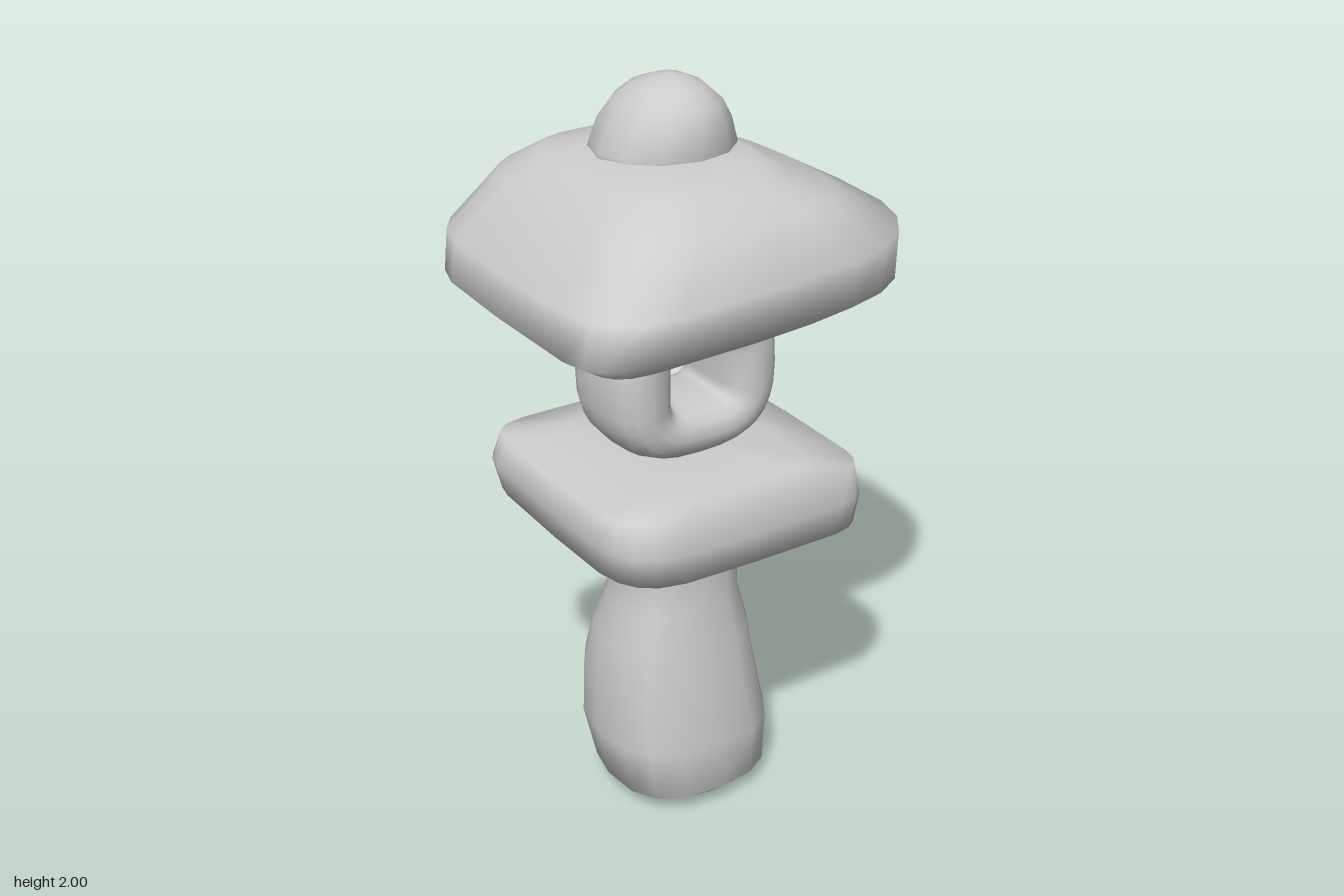
import * as THREE from 'three';

const stone = new THREE.MeshStandardMaterial({ color: 0xcccccc });
const bend = (v, n) => Math.sign(v) * Math.abs(v) ** (2 / n);

function toMesh(name, positions, index) {
  const geometry = new THREE.BufferGeometry();
  geometry.setAttribute('position', new THREE.Float32BufferAttribute(positions, 3));
  geometry.setIndex(index);
  geometry.computeVertexNormals();
  const mesh = new THREE.Mesh(geometry, stone);
  mesh.name = name;
  return mesh;
}

// Stone lofted through rings [y, xMin, xMax, zMin, zMax, tiltX, tiltZ, corners], bottom to top.
// corners = squareness of the [+x+z, -x+z, -x-z, +x-z] quarters; a ring may override it.
function loftStone(name, sides, corners, rings) {
  const positions = [], index = [];
  for (const [y, x0, x1, z0, z1, tiltX = 0, tiltZ = 0, ringCorners = corners] of rings) {
    for (let i = 0; i < sides; i++) {
      const t = (i / sides) * Math.PI * 2;
      const n = ringCorners[Math.floor((4 * i) / sides)];
      const x = (x0 + x1) / 2 + ((x1 - x0) / 2) * bend(Math.cos(t), n);
      const z = (z0 + z1) / 2 + ((z1 - z0) / 2) * bend(Math.sin(t), n);
      positions.push(x, y + tiltX * x + tiltZ * z, z);
    }
  }
  for (let j = 0; j < rings.length - 1; j++) {
    for (let i = 0; i < sides; i++) {
      const k = (i + 1) % sides, a = j * sides, b = a + sides;
      index.push(a + i, b + i, a + k, a + k, b + i, b + k);
    }
  }
  // End caps
  for (const r of [0, rings.length - 1]) {
    const [y, x0, x1, z0, z1, tiltX = 0, tiltZ = 0] = rings[r];
    const x = (x0 + x1) / 2, z = (z0 + z1) / 2, centre = positions.length / 3;
    positions.push(x, y + tiltX * x + tiltZ * z + (r ? 0.005 : 0), z);
    for (let i = 0; i < sides; i++) {
      const a = r * sides + i, b = r * sides + ((i + 1) % sides);
      index.push(centre, r ? b : a, r ? a : b);
    }
  }
  return toMesh(name, positions, index);
}

// Rounded block with a squarish window running through it along z.
function windowStone(name, centre, outer, inner, windowShift, halfDepth) {
  const U = 32, V = 16, positions = [], index = [];
  for (let i = 0; i < U; i++) {
    const u = (i / U) * Math.PI * 2, c = Math.cos(u), s = Math.sin(u);
    const ox = outer[0] * bend(c, 2.6), oy = outer[1] * bend(s, 2.6);
    const ix = windowShift + inner[0] * bend(c, 7), iy = inner[1] * bend(s, 7);
    for (let j = 0; j < V; j++) {
      const v = (j / V) * Math.PI * 2;
      const f = 0.5 + 0.5 * bend(Math.cos(v), 2.5);
      positions.push(
        centre[0] + ix + (ox - ix) * f,
        centre[1] + iy + (oy - iy) * f,
        centre[2] + halfDepth * bend(Math.sin(v), 2.7));
      const a = i * V + j, b = ((i + 1) % U) * V + j;
      const a2 = i * V + ((j + 1) % V), b2 = ((i + 1) % U) * V + ((j + 1) % V);
      index.push(a, b, a2, a2, b, b2);
    }
  }
  return toMesh(name, positions, index);
}

export function createModel() {
  const lantern = new THREE.Group();
  lantern.name = 'stoneLantern';

  // Bulging pillar
  lantern.add(loftStone('pillar', 16, [2.6, 2.6, 2.2, 1.9], [
    [0.02, -0.13, 0.1, -0.06, 0.22, 0, -0.08],
    [0.07, -0.26, 0.2, -0.15, 0.28, 0, -0.04],
    [0.2, -0.275, 0.215, -0.215, 0.28],
    [0.36, -0.27, 0.185, -0.2, 0.255],
    [0.49, -0.25, 0.163, -0.165, 0.235],
    [0.6, -0.215, 0.13, -0.12, 0.215],
    [0.7, -0.2, 0.132, -0.11, 0.2],
    [0.83, -0.217, 0.145, -0.12, 0.2],
  ]));

  // Square slab, sharper at two opposite corners
  lantern.add(loftStone('slab', 24, [8, 4.7, 8, 4.2], [
    [0.8, -0.22, 0.19, -0.18, 0.22],
    [0.845, -0.385, 0.342, -0.345, 0.41],
    [0.93, -0.402, 0.355, -0.366, 0.42],
    [1.015, -0.388, 0.343, -0.33, 0.405],
    [1.045, -0.24, 0.2, -0.2, 0.37],
  ]));

  // Light chamber with its through window
  lantern.add(windowStone('lightChamber', [-0.024, 1.25, 0.04], [0.252, 0.22], [0.078, 0.073], 0.012, 0.15));

  // Lopsided roof: one pointed low corner, rounder and thicker towards +x
  lantern.add(loftStone('roof', 24, [3, 7.5, 4.6, 2.4], [
    [1.44, -0.25, 0.25, -0.25, 0.25, 0.03],
    [1.435, -0.42, 0.4, -0.36, 0.38, 0.04],
    [1.5, -0.518, 0.516, -0.44, 0.47, 0.02],
    [1.612, -0.488, 0.51, -0.485, 0.485, 0.06, 0, [3, 5, 4.6, 2.4]],
    [1.735, -0.36, 0.34, -0.41, 0.395, 0, 0, [3, 3.5, 4, 2.6]],
    [1.79, -0.27, 0.21, -0.335, 0.295, 0, 0, [3, 3, 3.5, 2.6]],
    [1.82, -0.18, 0.16, -0.2, 0.2, 0, 0, [3, 3, 3, 3]],
  ]));

  // Finial knob
  lantern.add(loftStone('finial', 12, [2, 2.1, 2.1, 2.5], [
    [1.78, -0.2, 0.175, -0.2, 0.14],
    [1.825, -0.2, 0.175, -0.207, 0.143],
    [1.89, -0.17, 0.152, -0.203, 0.143],
    [1.935, -0.142, 0.128, -0.168, 0.118],
    [1.972, -0.095, 0.085, -0.125, 0.078],
    [1.99, -0.045, 0.045, -0.075, 0.025],
    [1.995, -0.02, 0.02, -0.045, -0.005],
  ]));

  return lantern;
}
